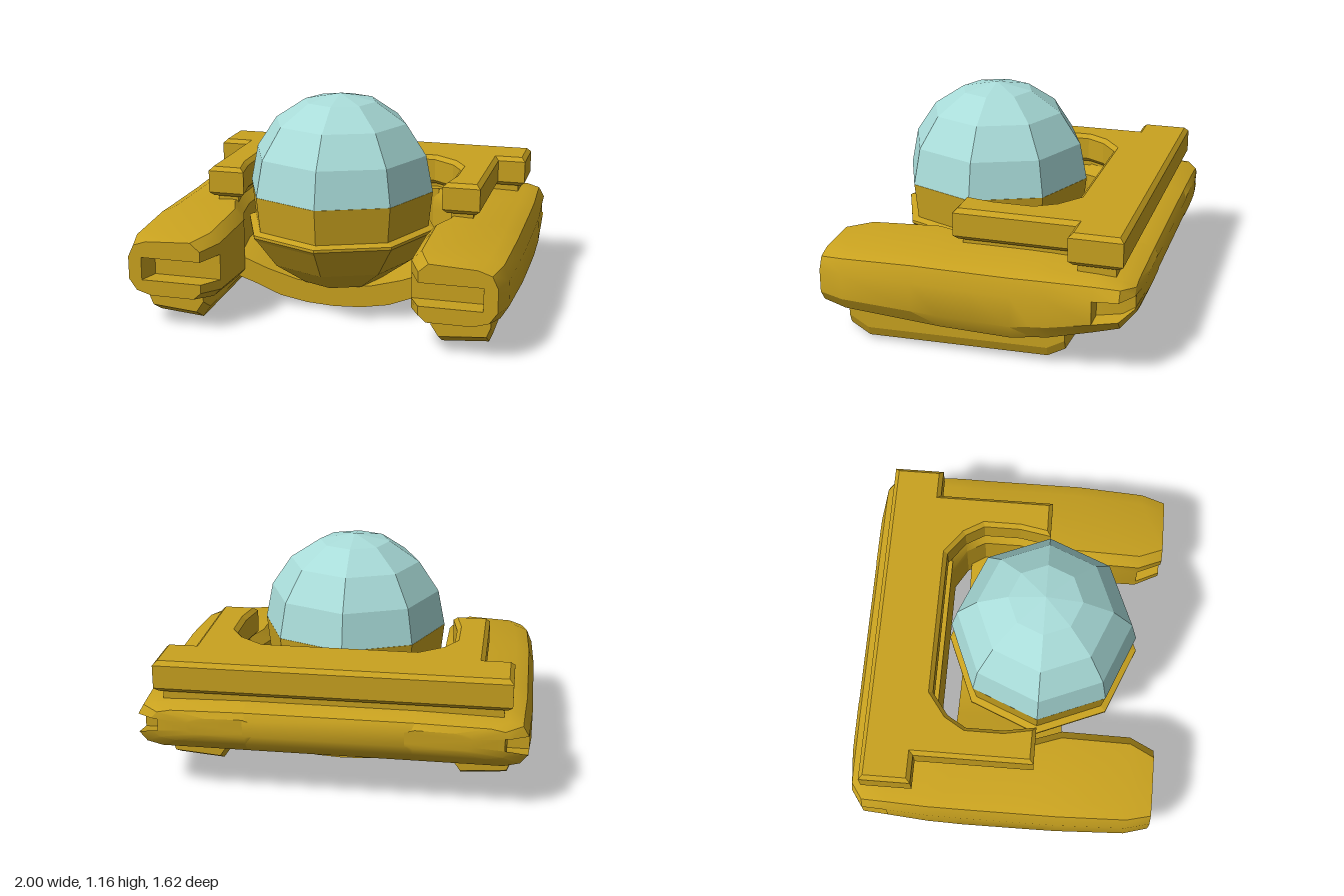
import * as THREE from 'three';
import { toCreasedNormals } from 'three/addons/utils/BufferGeometryUtils.js';

const gold = new THREE.MeshStandardMaterial({ color: 0xc9a21f });
const goldFlat = new THREE.MeshStandardMaterial({ color: 0xc9a21f, flatShading: true });
const glass = new THREE.MeshStandardMaterial({ color: 0xa9dcd9, flatShading: true });

// Skin between closed sections (counter-clockwise in xy, ordered front to back), with end caps
function loft(sections) {
  const rings = sections.slice().reverse();
  const pos = [];
  const tri = (a, b, c) => {
    const area = b.clone().sub(a).cross(c.clone().sub(a)).length();
    if (area > 1e-8) for (const p of [a, b, c]) pos.push(p.x, p.y, p.z);
  };
  for (let i = 0; i < rings.length - 1; i++) {
    const a = rings[i], b = rings[i + 1], n = a.length;
    for (let j = 0; j < n; j++) {
      const k = (j + 1) % n;
      tri(a[j], a[k], b[k]);
      tri(a[j], b[k], b[j]);
    }
  }
  const cap = (ring, flip) => {
    const flat = ring.map(p => new THREE.Vector2(p.x, p.y));
    for (const [a, b, c] of THREE.ShapeUtils.triangulateShape(flat, [])) {
      if (flip) tri(ring[a], ring[c], ring[b]);
      else tri(ring[a], ring[b], ring[c]);
    }
  };
  cap(rings[0], true);
  cap(rings[rings.length - 1], false);
  const geo = new THREE.BufferGeometry();
  geo.setAttribute('position', new THREE.Float32BufferAttribute(pos, 3));
  return geo;
}

// Mirrored copy across x = 0, with the winding turned back
function mirrorX(geo) {
  const m = geo.clone();
  const p = m.attributes.position;
  for (let i = 0; i < p.count; i += 3) {
    const v = [0, 2, 1].map(k => new THREE.Vector3().fromBufferAttribute(geo.attributes.position, i + k));
    v.forEach((q, k) => p.setXYZ(i + k, -q.x, q.y, q.z));
  }
  return m;
}

const shapeOf = pts => new THREE.Shape(pts.map(([x, y]) => new THREE.Vector2(x, y)));

// Pontoon stations: z, bottom, top, inner x, outer x, inner slot x, outer slot x
const stations = [
  [0.81, 0.18, 0.48, 0.56, 0.95, 0.88],
  [0.68, 0.16, 0.50, 0.50, 0.985, 0.86],
  [0.68, 0.16, 0.50, 0.50, 0.985],
  [0.31, 0.14, 0.52, 0.50, 1.0],
  [0.17, 0.13, 0.52, 0.55, 1.0],
  [0.0, 0.125, 0.52, 0.58, 1.0],
  [-0.2, 0.12, 0.52, 0.58, 1.0],
  [-0.3, 0.14, 0.52, 0.52, 1.0],
  [-0.38, 0.15, 0.52, 0.38, 1.0],
  [-0.6, 0.21, 0.51, 0.38, 0.99],
  [-0.6, 0.21, 0.51, 0.38, 0.99, 0.38, 0.88],
  [-0.73, 0.25, 0.50, 0.38, 0.985, 0.38, 0.88],
  [-0.79, 0.31, 0.48, 0.38, 0.90, 0.38, 0.87],
  [-0.81, 0.35, 0.45, 0.38, 0.72],
];

function pontoonSection([z, yb, yt, x0, x1, ni = x0, no = x1]) {
  return [
    [x0 + 0.04, 0], [x1 - 0.12, 0], [x1 - 0.04, 0.08], [x1, 0.27], [no, 0.27], [no, 0.67],
    [x1, 0.67], [x1 - 0.03, 0.88], [x1 - 0.1, 0.96], [x0 + 0.05, 1], [x0, 0.85], [x0, 0.67],
    [ni, 0.67], [ni, 0.27], [x0, 0.27], [x0, 0.12],
  ].map(([x, f]) => new THREE.Vector3(x, yb + f * (yt - yb), z));
}

// Skid under each pontoon, with sloped ends
function skidSection([z, b]) {
  return [[0.6, b + 0.06], [0.64, b], [0.88, b + 0.02], [0.9, b + 0.07], [0.9, 0.2], [0.6, 0.2]]
    .map(([x, y]) => new THREE.Vector3(x, y, z));
}

export function createModel() {
  const model = new THREE.Group();
  const add = (name, geo, mat) => {
    const mesh = new THREE.Mesh(geo, mat);
    mesh.name = name;
    model.add(mesh);
  };
  const creased = geo => toCreasedNormals(geo, 0.5);

  // Side pontoons and skids
  const pontoon = loft(stations.map(pontoonSection));
  const skid = loft([[0.68, 0.06], [0.58, 0], [-0.36, 0.02], [-0.45, 0.07]].map(skidSection));
  add('leftPontoon', creased(pontoon), gold);
  add('rightPontoon', creased(mirrorX(pontoon)), gold);
  add('leftSkid', skid, goldFlat);
  add('rightSkid', mirrorX(skid), goldFlat);
  for (const m of model.children) if (!m.geometry.attributes.normal) m.geometry.computeVertexNormals();

  // Rear crossbar joining the pontoons (profile in -z, y)
  const bar = new THREE.ExtrudeGeometry(shapeOf([
    [0.37, 0.15], [0.45, 0.17], [0.6, 0.21], [0.73, 0.25], [0.79, 0.31], [0.81, 0.36],
    [0.81, 0.44], [0.79, 0.48], [0.73, 0.5], [0.6, 0.51], [0.37, 0.52],
  ]), { depth: 0.86, bevelEnabled: false });
  bar.translate(0, 0, -0.43).rotateY(Math.PI / 2);
  add('rearCrossbar', creased(bar), gold);

  // Raised deck plate and the narrower neck under it (outline in x, -z)
  const half = [
    [0.4, 0.39], [0.52, 0.3], [0.58, 0.2], [0.58, 0], [0.55, -0.17], [0.75, -0.17],
    [0.75, 0.46], [0.9, 0.46], [0.9, 0.73],
  ];
  const deckShape = shapeOf([...half, ...half.map(([x, y]) => [-x, y]).reverse()]);
  const slab = (y0, y1, bevel, inset) => new THREE.ExtrudeGeometry(deckShape, {
    depth: y1 - y0 - 2 * bevel, bevelThickness: bevel, bevelSize: bevel,
    bevelOffset: -bevel - inset, bevelSegments: 1,
  }).rotateX(-Math.PI / 2).translate(0, y0 + bevel, 0);
  add('deckPlate', slab(0.54, 0.705, 0.022, 0), goldFlat);
  add('deckNeck', slab(0.47, 0.56, 0.01, 0.04), goldFlat);

  // Curved cradle slung between the pontoons
  const under = [[0, 0.02], [0.15, 0.028], [0.3, 0.055], [0.45, 0.115], [0.62, 0.17]];
  const over = [[0.62, 0.27], [0.5, 0.25], [0.37, 0.2], [0.2, 0.152], [0, 0.145]];
  const right = [...under, ...over];
  const left = right.slice(1, -1).map(([x, y]) => [-x, y]).reverse();
  const cradle = new THREE.ExtrudeGeometry(shapeOf([...right, ...left]), { depth: 0.59, bevelEnabled: false });
  add('cradle', creased(cradle.translate(0, 0, -0.28)), gold);

  // Cockpit bowl with a rim, and the glass dome
  const bowl = new THREE.LatheGeometry([
    [0, 0.14], [0.22, 0.15], [0.39, 0.27], [0.5, 0.42], [0.517, 0.44], [0.517, 0.455],
    [0.48, 0.468], [0.5, 0.655], [0, 0.655],
  ].map(([r, y]) => new THREE.Vector2(r, y)), 8);
  add('cockpitBowl', bowl.translate(0, 0, 0.17), goldFlat);
  const dome = new THREE.SphereGeometry(0.5, 8, 4, 0, Math.PI * 2, 0, Math.PI / 2);
  add('glassDome', dome.translate(0, 0.656, 0.17), glass);

  return model;
}
